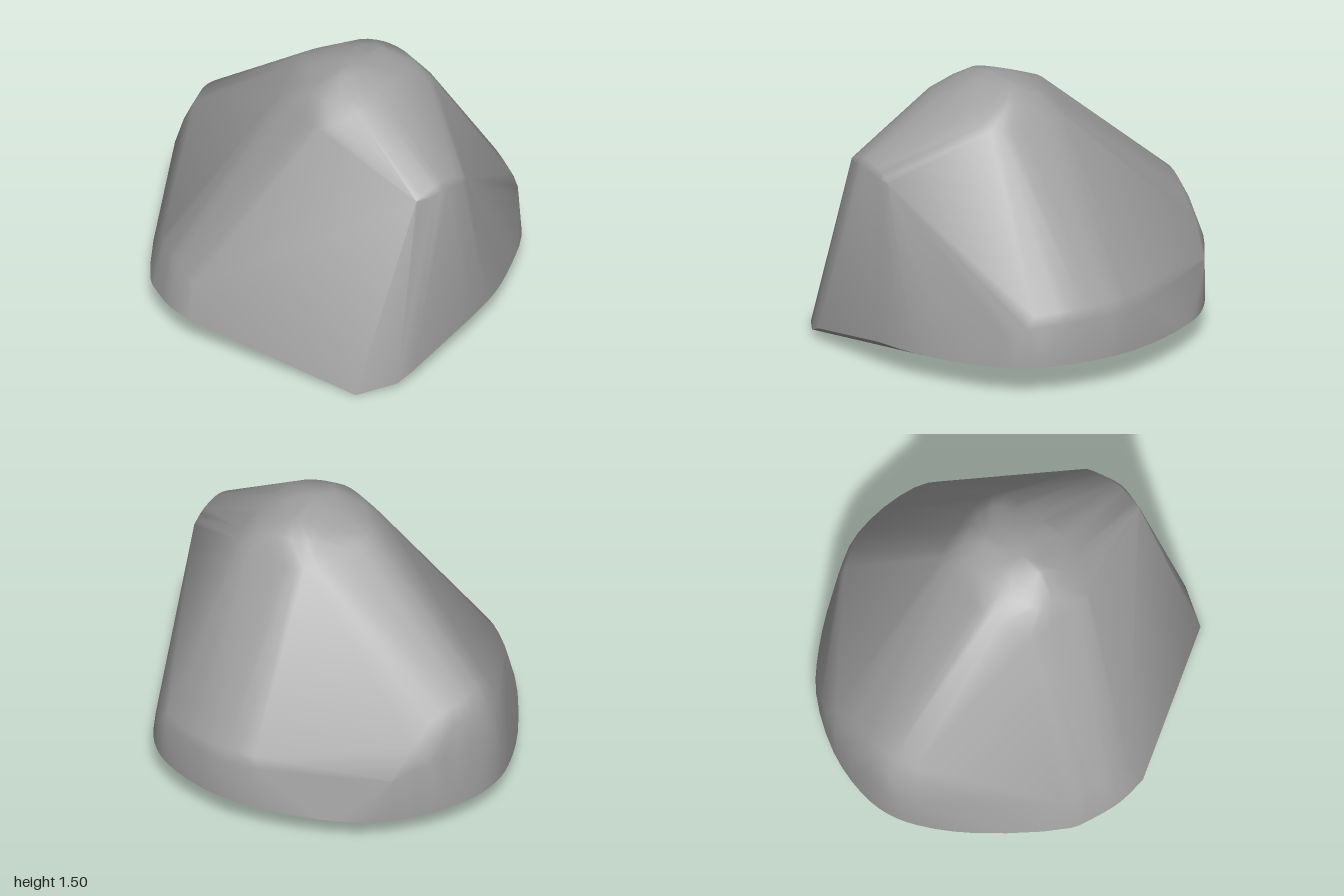
import * as THREE from 'three';
import { ConvexGeometry } from 'three/addons/geometries/ConvexGeometry.js';
import { toCreasedNormals } from 'three/addons/utils/BufferGeometryUtils.js';

const vec = (p) => new THREE.Vector3(...p);

// Rounded edge: a smooth curve through a few points, sampled densely
function arc(points, steps, closed = false) {
  return new THREE.CatmullRomCurve3(points.map(vec), closed, 'centripetal').getPoints(steps);
}

export function createModel() {
  const stone = new THREE.MeshStandardMaterial({ color: 0xa0a0a0 });
  stone.name = 'grey stone';

  // Bottom rim, from the right side round the back and left to the front lip
  const rim = arc([
    [1, 0.15, 0], [0.96, 0.15, -0.25], [0.87, 0.15, -0.5], [0.76, 0.155, -0.72],
    [0.62, 0.16, -0.86], [0.4, 0.165, -0.96], [0.15, 0.165, -1], [-0.1, 0.16, -0.97],
    [-0.4, 0.15, -0.87], [-0.62, 0.145, -0.75], [-0.85, 0.14, -0.5], [-0.97, 0.14, -0.25],
    [-1, 0.145, -0.07], [-0.97, 0.14, 0.1], [-0.85, 0.14, 0.38], [-0.55, 0.14, 0.81],
    [-0.45, 0.15, 0.88], [-0.3, 0.17, 0.96], [-0.13, 0.18, 1],
  ], 54);

  // Low pointed corner and the short edge beside it
  const corner = [[0.83, 0, 0.77], [0.97, 0.04, 0.59], [1, 0.08, 0.5]].map(vec);

  // Upper edge of the low back wall
  const backWall = [
    ...arc([[-0.05, 0.4, -0.96], [0.15, 0.4, -0.995], [0.4, 0.4, -0.95], [0.62, 0.38, -0.85], [0.73, 0.34, -0.74]], 10),
    ...arc([[-0.02, 0.46, -0.94], [0.15, 0.47, -0.97], [0.4, 0.46, -0.93], [0.6, 0.44, -0.83]], 10),
  ];

  // Rounded left shoulder
  const leftShoulder = [
    ...arc([[-0.72, 0.4, -0.66], [-0.85, 0.46, -0.49], [-0.96, 0.48, -0.25], [-1, 0.48, -0.07], [-0.96, 0.45, 0.1]], 12),
    ...arc([[-0.77, 0.56, -0.53], [-0.9, 0.62, -0.3], [-0.96, 0.63, -0.1], [-0.93, 0.6, 0.06]], 10),
    ...arc([[-0.8, 0.66, -0.4], [-0.88, 0.73, -0.22], [-0.9, 0.75, -0.08], [-0.88, 0.72, 0.03]], 8),
  ];

  // Rounded front shoulder
  const frontShoulder = arc([[-0.16, 0.37, 0.93], [-0.3, 0.4, 0.885], [-0.42, 0.4, 0.82], [-0.54, 0.38, 0.73]], 8);

  // High ridge on the right
  const rightRidge = [
    ...arc([[0.9, 1.08, 0.34], [0.925, 1.12, 0.24], [0.935, 1.13, 0.17], [0.945, 1.1, 0.05], [0.95, 1.05, -0.02]], 10),
    ...arc([[0.91, 1.04, 0.34], [0.955, 1.09, 0.2], [0.96, 1.05, 0.03]], 6),
  ];

  // Domed top in rings
  const dome = [
    ...arc([
      [-0.14, 1.39, 0.05], [-0.1, 1.28, 0.28], [0.1, 1.3, 0.37], [0.28, 1.31, 0.41],
      [0.42, 1.39, 0.25], [0.47, 1.43, 0.02], [0.48, 1.32, -0.32], [0.25, 1.32, -0.38],
      [0.03, 1.32, -0.36], [-0.1, 1.37, -0.13],
    ], 40, true),
    ...arc([
      [0, 1.45, 0.03], [0.03, 1.4, 0.24], [0.2, 1.41, 0.3], [0.36, 1.43, 0.2],
      [0.44, 1.45, 0.0], [0.38, 1.42, -0.27], [0.2, 1.43, -0.3], [0.05, 1.43, -0.23],
    ], 32, true),
    ...arc([[0.09, 1.485, 0], [0.2, 1.485, 0.17], [0.33, 1.49, 0], [0.2, 1.48, -0.2]], 20, true),
    vec([0.21, 1.505, 0.03]),
  ];

  // Solid skin wrapped around all the rounded edges
  const skin = new ConvexGeometry([
    ...rim, ...corner, ...backWall, ...leftShoulder, ...frontShoulder, ...rightRidge, ...dome,
  ]);
  const boulder = new THREE.Mesh(toCreasedNormals(skin, 0.6), stone);
  boulder.name = 'boulder';

  const group = new THREE.Group();
  group.name = 'rock';
  group.add(boulder);
  return group;
}
